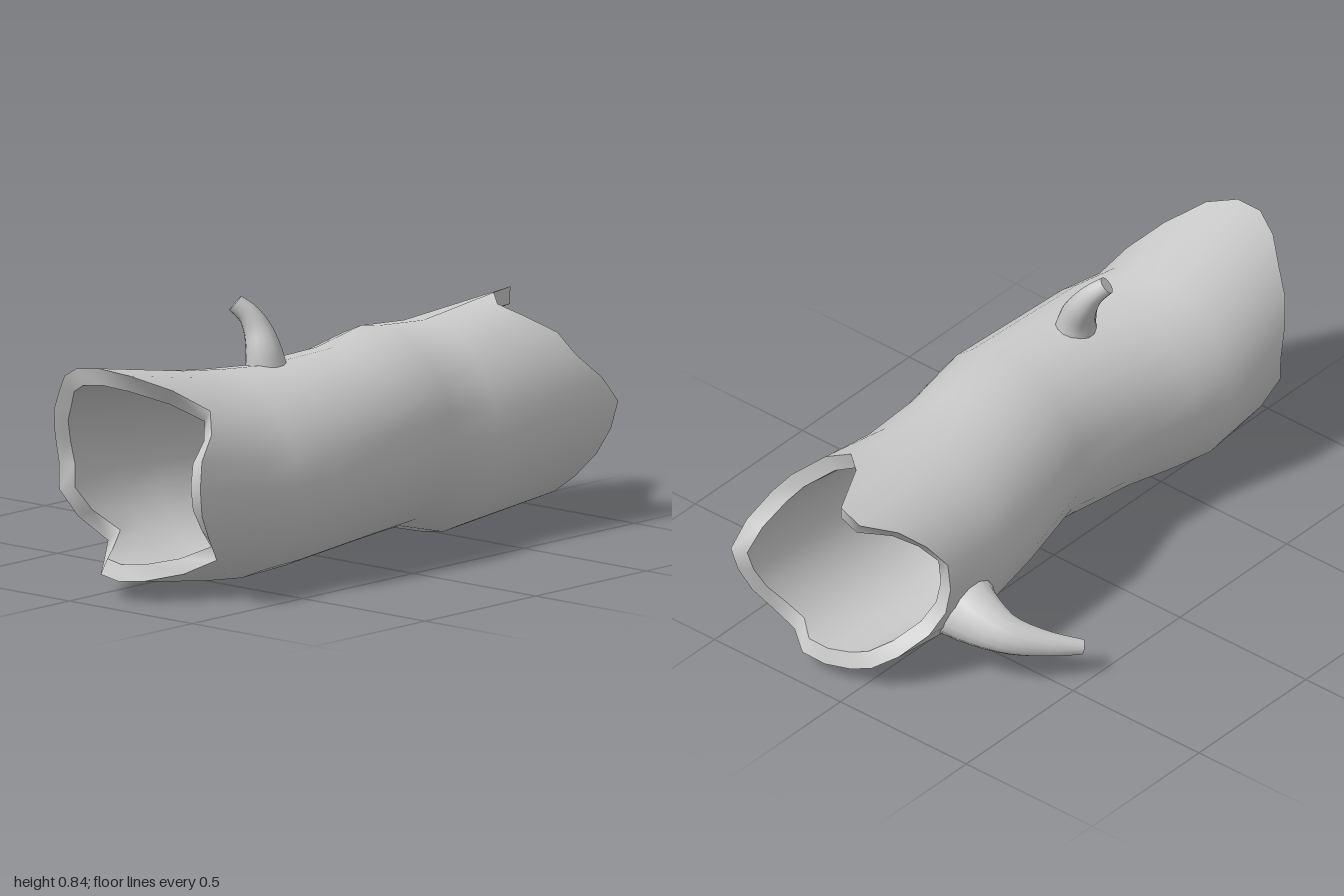
import * as THREE from 'three';

const material = new THREE.MeshStandardMaterial({ color: 0xcccccc, roughness: 0.9 });
const WALL = 0.052;

// Trunk sections: z, left edge x, right edge x, bottom y, top y
const SECTIONS = [
  [-1, -0.19, 0.435, 0.06, 0.69],
  [-0.75, -0.2, 0.43, 0.03, 0.7],
  [-0.48, -0.2, 0.42, 0.005, 0.66],
  [-0.28, -0.185, 0.41, 0.055, 0.675],
  [0, -0.11, 0.47, 0.06, 0.66],
  [0.3, -0.13, 0.47, 0.03, 0.65],
  [0.47, -0.17, 0.46, 0.015, 0.66],
  [0.6, -0.205, 0.42, 0.02, 0.67],
  [1, -0.205, 0.428, 0.08, 0.74],
];

// z of the broken ends, every 15 degrees from +x towards +y
const FRONT_END = [0.88, 0.86, 0.78, 0.73, 0.83, 0.94, 0.99, 1, 0.97, 0.92, 0.89, 0.85,
  0.82, 0.83, 0.78, 0.7, 0.79, 0.89, 0.9, 0.88, 0.78, 0.7, 0.79, 0.86];
const BACK_END = [-1, -0.94, -0.86, -0.83, -0.75, -0.72, -0.79, -0.95, -0.95, -0.85, -0.78, -0.72,
  -0.72, -0.73, -0.77, -0.85, -0.9, -0.91, -0.93, -0.94, -0.89, -0.91, -0.95, -0.98];
const COLUMNS = FRONT_END.length;

// Point on the trunk at column j and depth z, moved inwards by inset
function trunkPoint(j, z, inset) {
  let k = 0;
  while (k < SECTIONS.length - 2 && z > SECTIONS[k + 1][0]) k++;
  const a = SECTIONS[k], b = SECTIONS[k + 1];
  const t = (z - a[0]) / (b[0] - a[0]);
  const [left, right, bottom, top] = [1, 2, 3, 4].map((n) => a[n] + (b[n] - a[n]) * t);
  const angle = (j / COLUMNS) * Math.PI * 2;
  return [
    (left + right) / 2 + Math.cos(angle) * ((right - left) / 2 - inset),
    (bottom + top) / 2 + Math.sin(angle) * ((top - bottom) / 2 - inset),
    z,
  ];
}

// Joins closed rows of points into a smooth skin
function skin(name, rows) {
  const n = rows[0].length, index = [];
  for (let i = 0; i < rows.length - 1; i++) {
    for (let j = 0; j < n; j++) {
      const k = (j + 1) % n;
      const a = i * n + j, b = i * n + k, c = a + n, d = b + n;
      index.push(a, b, c, b, d, c);
    }
  }
  const geometry = new THREE.BufferGeometry();
  geometry.setAttribute('position', new THREE.Float32BufferAttribute(rows.flat(2), 3));
  geometry.setIndex(index);
  geometry.computeVertexNormals();
  const mesh = new THREE.Mesh(geometry, material);
  mesh.name = name;
  return mesh;
}

// Hollow trunk: bark, inner wall and the two broken rims
function hollowTrunk() {
  const row = (zs, inset) => zs.map((z, j) => trunkPoint(j, z, inset));
  const middle = SECTIONS.slice(2, -1).map((s) => new Array(COLUMNS).fill(s[0]));
  const outer = [BACK_END, ...middle, FRONT_END].map((zs) => row(zs, 0));
  const inner = [BACK_END.map((z) => z + 0.015), ...middle, FRONT_END.map((z) => z - 0.015)]
    .map((zs) => row(zs, WALL));
  const trunk = new THREE.Group();
  trunk.name = 'trunk';
  trunk.add(
    skin('bark', outer),
    skin('innerWall', [...inner].reverse()),
    skin('frontRim', [outer.at(-1), inner.at(-1)]),
    skin('backRim', [inner[0], outer[0]]),
  );
  return trunk;
}

// Curved, tapering branch stub; each point is x, y, z, radius
function branch(name, points) {
  const STEPS = 12, SIDES = 14;
  const curve = new THREE.CatmullRomCurve3(points.map((p) => new THREE.Vector3(...p.slice(0, 3))));
  const radii = new THREE.CatmullRomCurve3(points.map((p) => new THREE.Vector3(p[3], 0, 0)));
  const geometry = new THREE.TubeGeometry(curve, STEPS, 1, SIDES);
  const position = geometry.attributes.position;
  const v = new THREE.Vector3();
  for (let i = 0; i <= STEPS; i++) {
    const u = i / STEPS;
    const centre = curve.getPointAt(u);
    const radius = radii.getPoint(curve.getUtoTmapping(u)).x;
    for (let j = 0; j <= SIDES; j++) {
      const n = i * (SIDES + 1) + j;
      v.fromBufferAttribute(position, n).sub(centre).multiplyScalar(radius).add(centre);
      position.setXYZ(n, v.x, v.y, v.z);
    }
  }
  const stub = new THREE.Mesh(geometry, material);
  stub.name = name + 'Stem';

  // Flat cut at the tip
  const cut = new THREE.Mesh(new THREE.CircleGeometry(points.at(-1)[3], SIDES), material);
  cut.name = name + 'Cut';
  cut.position.copy(curve.getPointAt(1));
  cut.quaternion.setFromUnitVectors(new THREE.Vector3(0, 0, 1), curve.getTangentAt(1));

  const group = new THREE.Group();
  group.name = name;
  group.add(stub, cut);
  return group;
}

export function createModel() {
  const log = new THREE.Group();
  log.name = 'hollowLog';
  log.add(
    hollowTrunk(),
    branch('sideBranch', [
      [-0.13, 0.225, -0.6, 0.12],
      [-0.2, 0.205, -0.605, 0.095],
      [-0.3, 0.168, -0.58, 0.062],
      [-0.39, 0.13, -0.5, 0.04],
      [-0.46, 0.1, -0.41, 0.024],
    ]),
    branch('topBranch', [
      [0.145, 0.625, 0.27, 0.066],
      [0.135, 0.68, 0.27, 0.057],
      [0.105, 0.745, 0.265, 0.044],
      [0.078, 0.79, 0.275, 0.034],
      [0.045, 0.825, 0.3, 0.028],
    ]),
  );
  return log;
}
